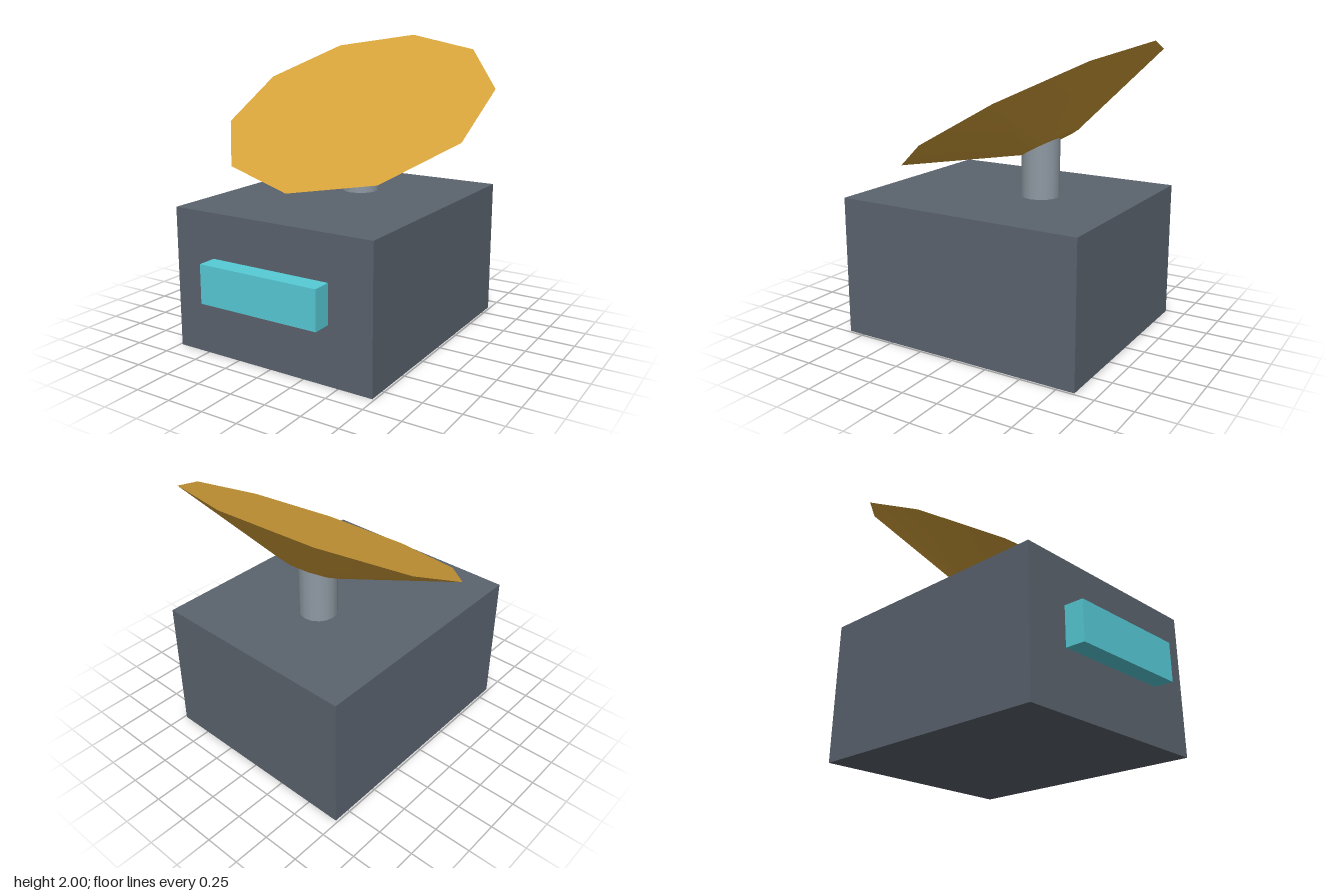
import * as THREE from 'three';

const material = (name, color) => {
  const m = new THREE.MeshStandardMaterial({ color });
  m.name = name;
  return m;
};

export function createModel() {
  const group = new THREE.Group();
  const slate = material('slate', 0x5b636e);
  const steel = material('steel', 0x8f9aa3);
  const amber = material('amber', 0xd6a23a);
  const cyan = material('cyan', 0x56cbd6);

  const add = (name, geometry, mat, x, y, z) => {
    const mesh = new THREE.Mesh(geometry, mat);
    mesh.name = name;
    mesh.position.set(x, y, z);
    group.add(mesh);
    return mesh;
  };

  // Main housing and the panel on its front
  add('housing', new THREE.BoxGeometry(1.47, 0.95, 1.73), slate, 0, 0.475, 0);
  add('frontPanel', new THREE.BoxGeometry(0.865, 0.26, 0.13), cyan, 0, 0.52, 0.93);

  // Mast, its top buried in the dish
  add('mast', new THREE.CylinderGeometry(0.13, 0.13, 0.43, 16), steel, 0, 1.165, -0.215);

  // Ten-sided closed dish, tipped towards the front
  const tilt = 0.5, depth = 0.26;
  const dish = add('dish', new THREE.CylinderGeometry(0.95, 0.205, depth, 10), amber,
    0, 1.545 - Math.cos(tilt) * depth / 2, -0.158 - Math.sin(tilt) * depth / 2);
  dish.rotation.x = tilt;

  return group;
}
